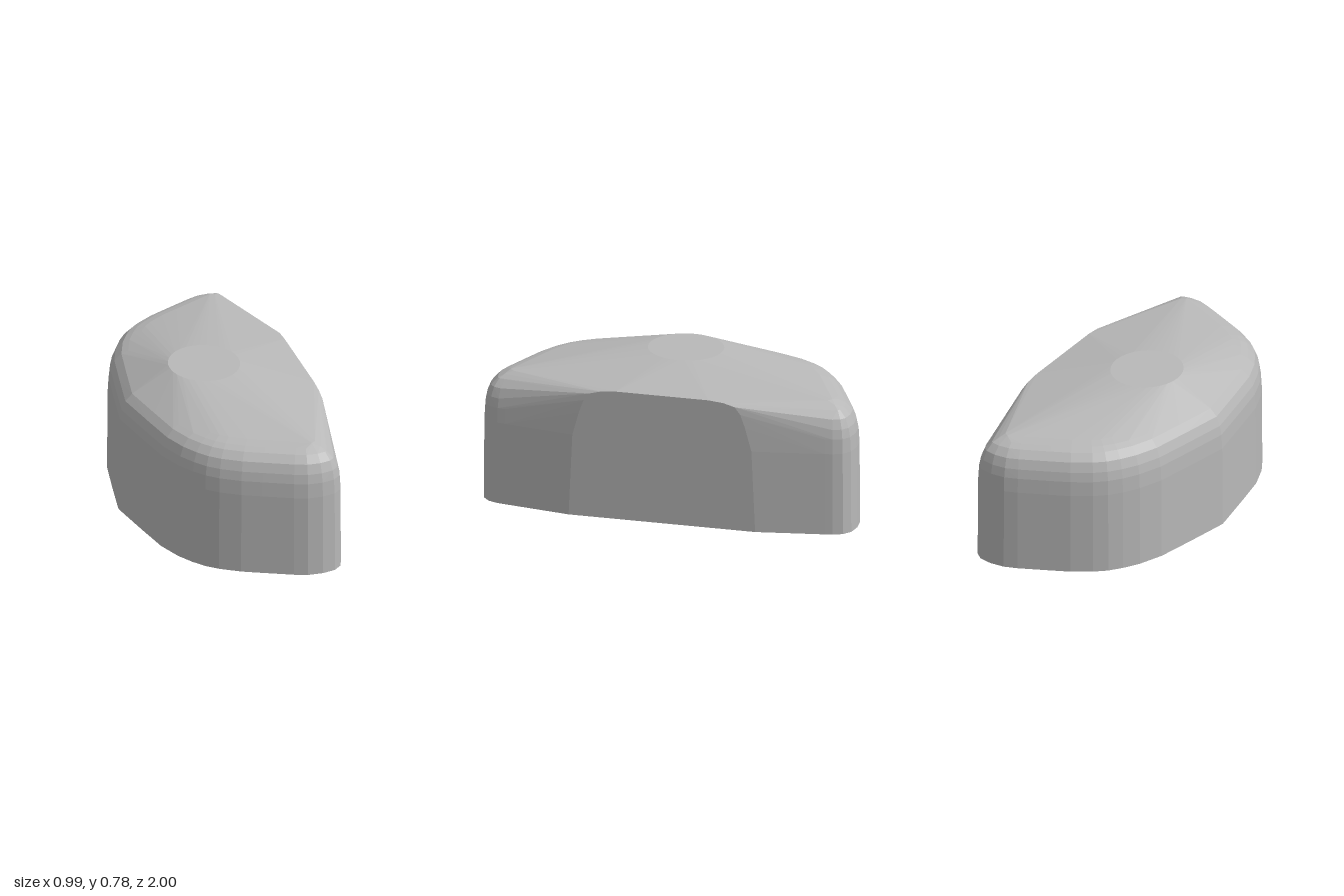
import * as THREE from 'three';
import { ConvexGeometry } from 'three/addons/geometries/ConvexGeometry.js';

export function createModel() {
  const group = new THREE.Group();
  const grey = new THREE.MeshStandardMaterial({ color: 0xb8b8b8, flatShading: true });
  grey.name = 'plain grey';

  // Half of the footprint as [x, z], from the straight side round to the bowed side
  const half = [
    [0.437, 0.86], [0.43, 0.9], [0.41, 0.95], [0.37, 0.985], [0.3, 1], [0.22, 0.995], [0.15, 0.97],
    [0, 0.9], [-0.1, 0.852], [-0.2, 0.788], [-0.26, 0.735], [-0.31, 0.67], [-0.36, 0.585],
    [-0.41, 0.455], [-0.45, 0.25], [-0.488, 0.04],
  ];
  // Wall and rounded shoulder as [height, inset]
  const profile = [[0, 0], [0.45, 0.003], [0.53, 0.008], [0.58, 0.018], [0.63, 0.038], [0.668, 0.075], [0.685, 0.11], [0.7, 0.155]];

  const points = [];
  const addPair = (x, y, z) => {
    points.push(new THREE.Vector3(x, y, z));
    if (z !== 0) points.push(new THREE.Vector3(x, y, -z));
  };

  // Each ring is the footprint moved inwards along its normals
  half.forEach(([x, z], i) => {
    const a = half[i - 1] ?? [0.493, 0.5];
    const b = half[i + 1] ?? [-0.488, -0.04];
    const normal = new THREE.Vector2(b[1] - a[1], a[0] - b[0]).normalize();
    if (normal.x * x + normal.y * z < 0) normal.negate();
    for (const [y, inset] of profile) addPair(x - normal.x * inset, y, z - normal.y * inset);
  });
  for (const [y, inset] of profile.slice(0, 6)) addPair(-0.495 + inset, y, 0);

  // Flat side panel with its crisp upper edge
  for (const [y, z] of [[0, 0.5], [0.45, 0.48], [0.58, 0.445], [0.65, 0.42], [0.69, 0.39], [0.707, 0.33], [0.715, 0.25]]) {
    addPair(0.493, y, z);
  }

  // Small flat disc at the summit
  for (let i = 0; i < 32; i++) {
    const t = (i / 32) * Math.PI * 2;
    points.push(new THREE.Vector3(-0.027 + 0.187 * Math.cos(t), 0.784, 0.2 * Math.sin(t)));
  }

  const body = new THREE.Mesh(new ConvexGeometry(points), grey);
  body.name = 'roundedBody';
  group.add(body);
  return group;
}
